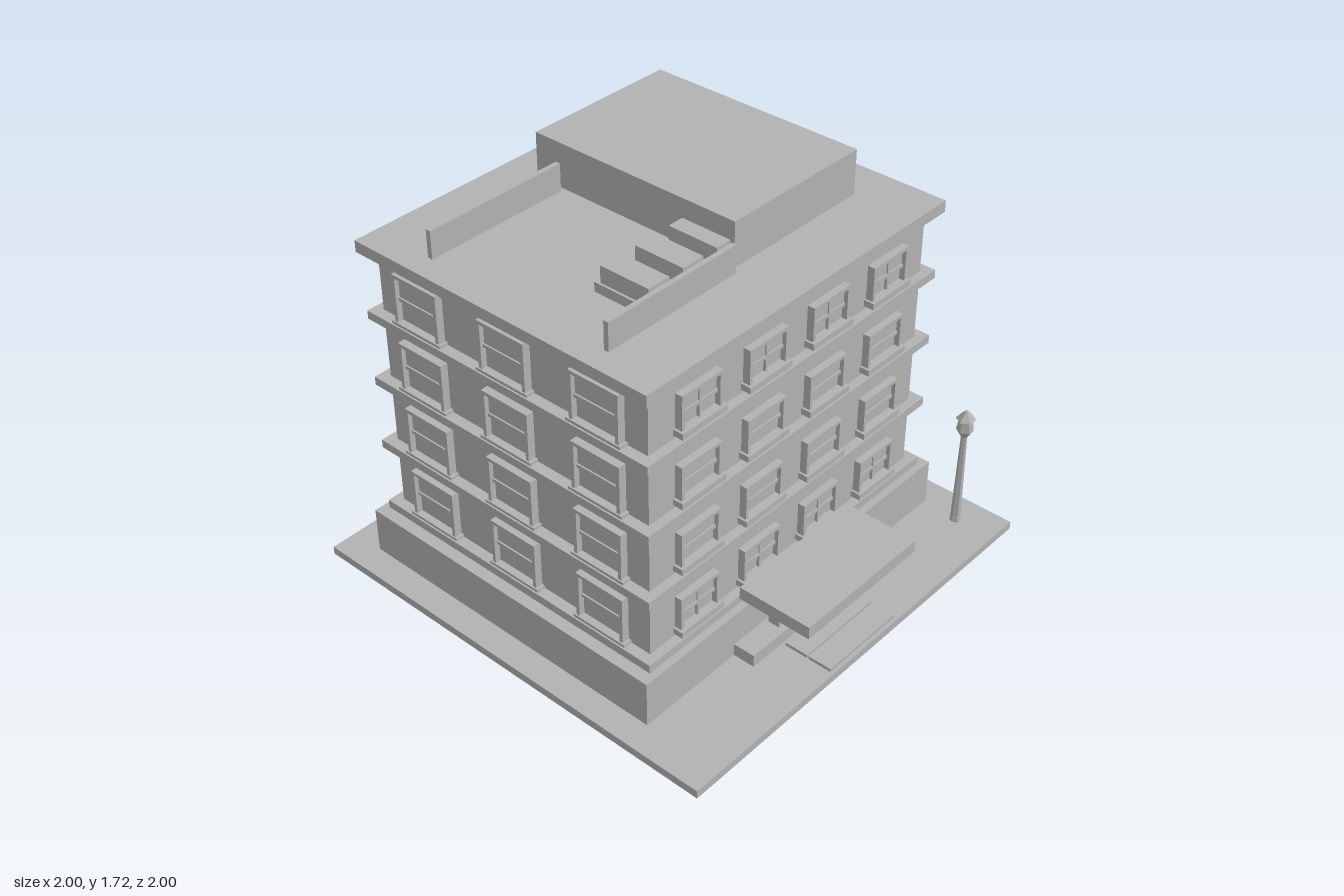
import * as THREE from 'three';

const stone = new THREE.MeshStandardMaterial({ color: 0xb2b2b2 });
stone.name = 'grey stone';

// Box given by its limits on each axis
function box(parent, name, x0, x1, y0, y1, z0, z1) {
  const m = new THREE.Mesh(new THREE.BoxGeometry(x1 - x0, y1 - y0, z1 - z0), stone);
  m.position.set((x0 + x1) / 2, (y0 + y1) / 2, (z0 + z1) / 2);
  m.name = name;
  parent.add(m);
  return m;
}

// Sash window facing +z, wall plane at z = 0, bottom centre at the origin
function makeWindow(w, h, sillW, sillH, depth, sillDepth, cross) {
  const g = new THREE.Group();
  g.name = 'window';
  const a = w / 2, t = 0.015, mid = h * 0.5;
  box(g, 'glass', -a + t, a - t, 0, h - t, 0, 0.008);
  for (const s of [-1, 1]) {
    const c = s * (a - t / 2);
    box(g, 'frameSide', c - t / 2, c + t / 2, 0, h, 0, depth);
  }
  box(g, 'frameTop', -a + t, a - t, h - t, h, 0, depth);
  box(g, 'upperSash', -a + t, a - t, mid, h - t, 0.008, 0.014);
  box(g, 'sashBar', -a + t, a - t, mid - 0.007, mid + 0.007, 0.008, 0.021);
  if (cross) box(g, 'mullion', -0.005, 0.005, 0, h - t, 0.008, 0.02);
  box(g, 'sill', -sillW / 2, sillW / 2, -0.005, sillH, 0, sillDepth);
  return g;
}

function makeLamp() {
  const g = new THREE.Group();
  g.name = 'streetLamp';
  const stack = [
    ['lampFoot', 0.022, 0.024, 0.035, 0.06],
    ['lampPole', 0.013, 0.021, 0.06, 0.48],
    ['lampCup', 0.036, 0.018, 0.48, 0.51],
    ['lampGlass', 0.027, 0.036, 0.51, 0.572],
    ['lampCap', 0.004, 0.042, 0.565, 0.606],
  ];
  for (const [name, rTop, rBottom, y0, y1] of stack) {
    const geo = new THREE.CylinderGeometry(rTop, rBottom, y1 - y0, 6).toNonIndexed();
    geo.computeVertexNormals();
    const m = new THREE.Mesh(geo, stone);
    m.name = name;
    m.position.y = (y0 + y1) / 2;
    m.rotation.y = Math.PI / 2;
    g.add(m);
  }
  g.position.set(0.86, 0, 0.815);
  return g;
}

export function createModel() {
  const model = new THREE.Group();
  model.name = 'apartmentBlock';

  // Ground, plinth and walls
  box(model, 'ground', -1, 1, 0, 0.036, -1, 1);
  box(model, 'plinth', -0.88, 0.88, 0.036, 0.242, -0.848, 0.648);
  box(model, 'walls', -0.785, 0.785, 0.242, 1.47, -0.775, 0.58);

  // Four storeys: ledge, front windows and side windows
  const storey = 0.308;
  for (let f = 0; f < 4; f++) {
    const y = f * storey;
    box(model, 'ledge', -0.832, 0.832, 0.248 + y, 0.285 + y, -0.815, 0.62);
    for (const x of [-0.54, -0.18, 0.18, 0.54]) {
      const w = makeWindow(0.215, 0.17, 0.236, 0.022, 0.032, 0.045, f === 0 || f === 3);
      w.position.set(x, 0.306 + y, 0.58);
      model.add(w);
    }
    for (const s of [-1, 1]) {
      for (const z of [0.355, -0.098, -0.55]) {
        const w = makeWindow(0.236, 0.223, 0.262, 0.015, 0.034, 0.04, false);
        w.position.set(s * 0.785, 0.282 + y, z);
        w.rotation.y = s * Math.PI / 2;
        model.add(w);
      }
    }
  }

  // Roof slab, penthouse and screen walls
  box(model, 'roofSlab', -0.845, 0.845, 1.47, 1.52, -0.828, 0.63);
  box(model, 'penthouse', -0.06, 0.65, 1.52, 1.715, -0.66, 0.34);
  for (const z of [0.355, -0.525]) {
    box(model, 'screenWall', -0.745, -0.08, 1.52, 1.64, z - 0.011, z + 0.011);
  }

  // Rooftop air units
  for (const x of [-0.44, -0.26, -0.08]) {
    box(model, 'airUnitBase', x - 0.065, x + 0.065, 1.52, 1.56, 0.07, 0.33);
    box(model, 'airUnit', x - 0.054, x + 0.054, 1.56, 1.632, 0.09, 0.32);
  }

  // Entrance: canopy, landing, door piers and paving
  box(model, 'canopy', -0.335, 0.332, 0.285, 0.342, 0.63, 0.966);
  box(model, 'landing', -0.382, 0.382, 0.036, 0.092, 0.64, 0.746);
  for (const x of [-0.107, 0.107]) {
    box(model, 'doorPanel', x - 0.077, x + 0.077, 0.092, 0.277, 0.67, 0.707);
    for (const s of [-1, 1]) {
      const c = x + s * 0.082;
      box(model, 'doorJamb', c - 0.006, c + 0.006, 0.092, 0.286, 0.664, 0.716);
    }
    box(model, 'doorHead', x - 0.077, x + 0.077, 0.276, 0.286, 0.664, 0.716);
  }
  for (const z of [0.815, 0.93]) {
    box(model, 'pavingSlab', -0.208, 0.205, 0.036, 0.05, z - 0.053, z + 0.053);
  }

  model.add(makeLamp());
  return model;
}
